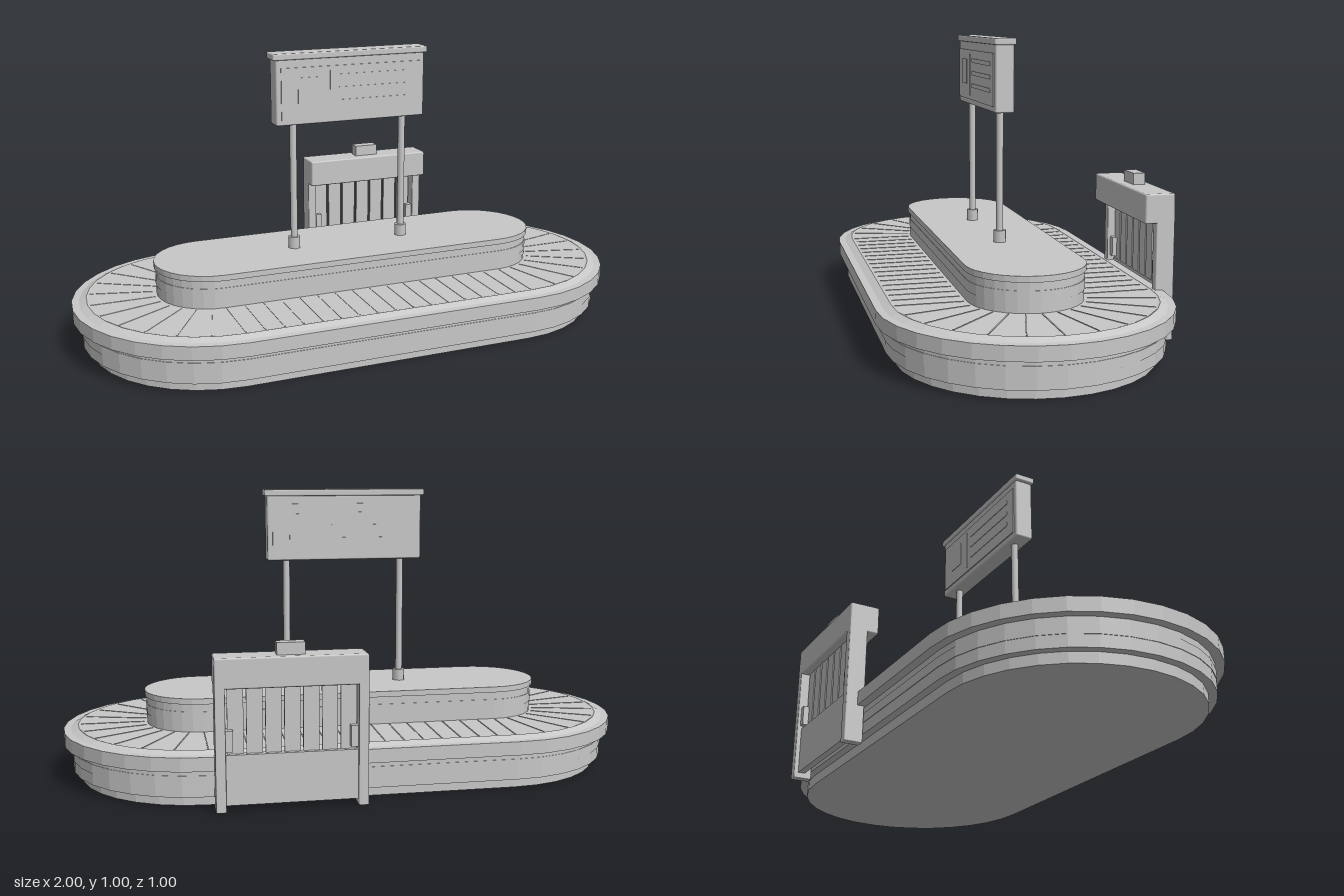
import * as THREE from 'three';
import { RoundedBoxGeometry } from 'three/addons/geometries/RoundedBoxGeometry.js';

const CZ = 0.02;      // centre line of the carousel
const HALF = 0.52;    // half length of the straight runs
const ARC = 16;       // facets per rounded end

export function createModel() {
  const root = new THREE.Group();
  root.name = 'baggageCarousel';
  const grey = new THREE.MeshStandardMaterial({ color: 0xc8c8c8 });
  grey.name = 'light grey';
  const flatGrey = grey;

  const add = (parent, name, geo, x = 0, y = 0, z = 0) => {
    const m = new THREE.Mesh(geo, flatGrey);
    m.name = name;
    m.position.set(x, y, z);
    parent.add(m);
    return m;
  };
  const group = (name) => {
    const g = new THREE.Group();
    g.name = name;
    root.add(g);
    return g;
  };
  // Box given by its minimum and maximum on each axis
  const box = (parent, name, x0, x1, y0, y1, z0, z1, r = 0) => {
    const s = [x1 - x0, y1 - y0, z1 - z0];
    const geo = r ? new RoundedBoxGeometry(...s, 1, r) : new THREE.BoxGeometry(...s);
    return add(parent, name, geo, (x0 + x1) / 2, (y0 + y1) / 2, (z0 + z1) / 2);
  };

  // Stadium-shaped solid lofted through a profile of [radius, height]
  const stadium = (profile) => {
    const pos = [], idx = [], n = 2 * (ARC + 1);
    for (const [r, y] of profile) {
      for (let i = 0; i < n; i++) {
        const end = i > ARC ? 1 : 0;
        const a = -Math.PI / 2 + (i - end) * Math.PI / ARC;
        pos.push((end ? -HALF : HALF) + r * Math.cos(a), y, CZ - r * Math.sin(a));
      }
    }
    for (let k = 0; k < profile.length - 1; k++) {
      for (let i = 0; i < n; i++) {
        const a = k * n + i, b = k * n + (i + 1) % n;
        idx.push(a, b, b + n, a, b + n, a + n);
      }
    }
    let g = new THREE.BufferGeometry();
    g.setAttribute('position', new THREE.Float32BufferAttribute(pos, 3));
    g.setIndex(idx);
    g = g.toNonIndexed();
    g.computeVertexNormals();
    return g;
  };

  // Carousel body: plinth, skirt with a shallow band, rim and belt bed
  const body = group('carousel');
  add(body, 'plinthAndRim', stadium([
    [0, 0], [0.422, 0], [0.422, 0.035], [0.45, 0.035], [0.45, 0.075], [0.452, 0.075],
    [0.452, 0.107], [0.45, 0.107], [0.45, 0.128], [0.48, 0.128], [0.48, 0.175],
    [0.455, 0.176], [0.43, 0.187], [0.425, 0.185], [0, 0.185],
  ]));

  // Raised island in the middle
  add(body, 'island', stadium([
    [0.19, 0.18], [0.19, 0.222], [0.192, 0.222], [0.192, 0.256], [0.19, 0.256],
    [0.19, 0.283], [0.197, 0.283], [0.197, 0.303], [0, 0.303],
  ]));

  // Belt seams: low ribs across the straights and fanned round the ends
  const seam = new THREE.BoxGeometry(0.22, 0.002, 0.004);
  const addSeam = (x, z, angle) => {
    add(body, 'beltSeam', seam, x, 0.1855, CZ + z).rotation.y = angle;
  };
  for (const s of [1, -1]) {
    for (let i = 0; i <= 16; i++) {
      addSeam(-HALF + i * HALF / 8, s * 0.31, Math.PI / 2);
    }
    for (let i = 1; i < 12; i++) {
      const a = -Math.PI / 2 + i * Math.PI / 12;
      addSeam(s * (HALF + 0.31 * Math.cos(a)), 0.31 * Math.sin(a), -s * a);
    }
  }

  // Display sign on two poles
  const sign = group('displaySign');
  for (const x of [-0.211, 0.205]) {
    add(sign, 'signPole', new THREE.CylinderGeometry(0.0125, 0.0125, 0.46, 12), x, 0.53, CZ + 0.002);
    add(sign, 'poleCollar', new THREE.CylinderGeometry(0.022, 0.022, 0.043, 8), x, 0.323, CZ + 0.002);
  }
  box(sign, 'signBoard', -0.281, 0.276, 0.755, 0.985, -0.011, 0.055, 0.006);
  box(sign, 'signCap', -0.292, 0.286, 0.982, 1.005, -0.016, 0.06, 0.005);
  for (const s of [1, -1]) {
    // Screen face with a divider and plain rows, same on both sides
    const at = (name, x0, x1, y0, y1, d0, d1) => {
      const z = [0.022 + s * d0, 0.022 + s * d1].sort((a, b) => a - b);
      const x = [-0.003 + s * x0, -0.003 + s * x1].sort((a, b) => a - b);
      box(sign, name, x[0], x[1], y0, y1, z[0], z[1]);
    };
    at('screen', -0.26, 0.26, 0.775, 0.955, 0.03, 0.037);
    at('screenDivider', -0.082, -0.078, 0.79, 0.94, 0.036, 0.039);
    at('screenPanel', -0.2, -0.13, 0.83, 0.92, 0.036, 0.039);
    for (const y of [0.82, 0.865, 0.91]) at('screenRow', -0.05, 0.22, y, y + 0.015, 0.036, 0.039);
  }

  // Luggage gate behind the belt
  const gate = group('luggageGate');
  box(gate, 'gateHeader', 0.01, 0.505, 0.4, 0.5, -0.5, -0.395, 0.006);
  box(gate, 'warningLamp', 0.213, 0.304, 0.495, 0.54, -0.472, -0.43);
  box(gate, 'gateLowerPanel', 0.03, 0.485, 0.02, 0.185, -0.485, -0.46);
  for (const s of [-1, 1]) {
    const c = 0.2575;
    const span = (a, b) => (s > 0 ? [c + a, c + b] : [c - b, c - a]);
    box(gate, 'gatePost', ...span(0.214, 0.2475), 0, 0.45, -0.5, -0.435, 0.004);
    box(gate, 'sensorBox', ...span(0.19, 0.216), 0.195, 0.265, -0.49, -0.445);
  }
  // Hanging curtain strips
  for (let i = 0; i < 7; i++) {
    const x = 0.046 + i * 0.061;
    box(gate, 'curtainStrip', x, x + 0.052, 0.185, 0.41, -0.47, -0.462);
  }
  return root;
}
